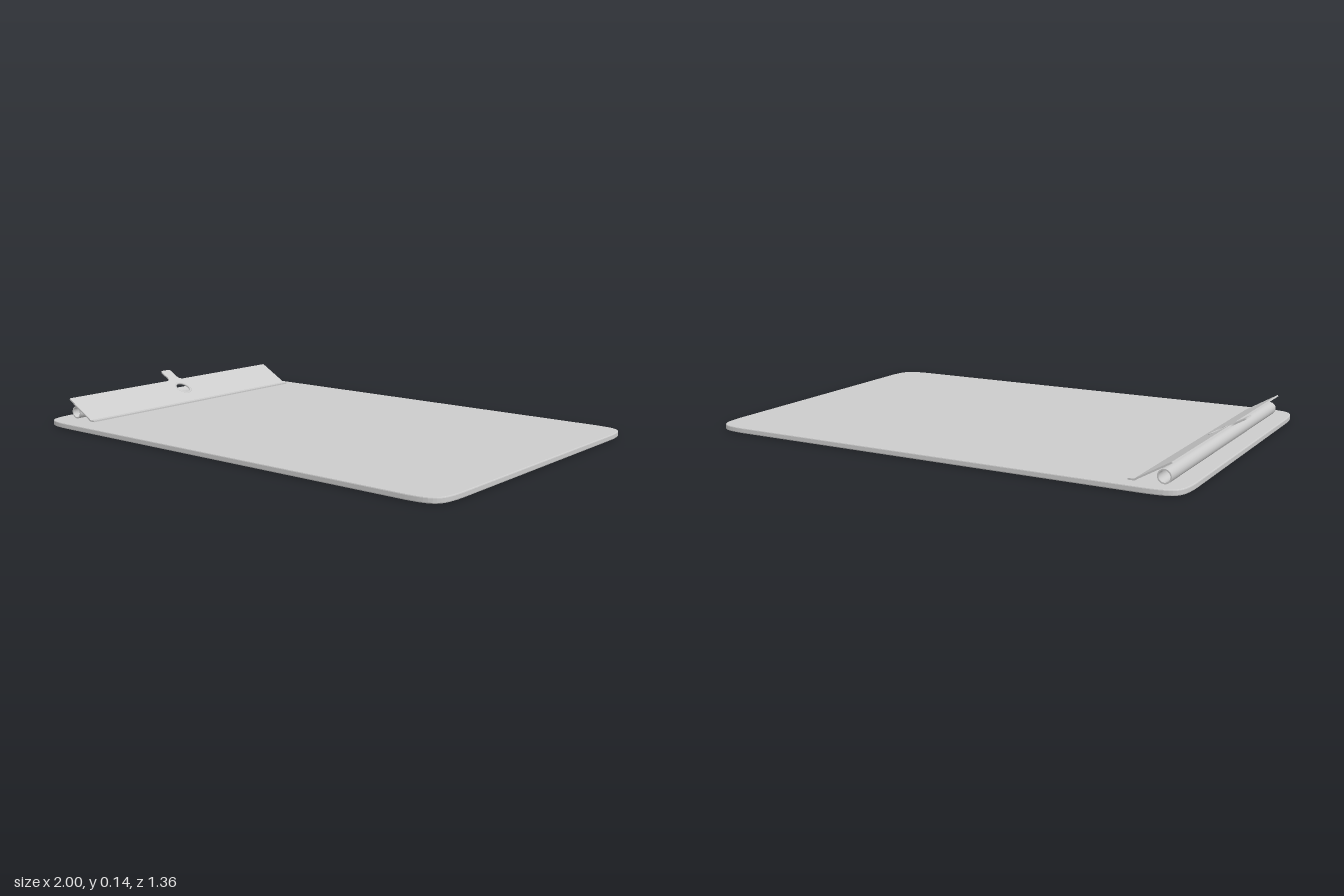
import * as THREE from 'three';

const grey = () => new THREE.MeshStandardMaterial({ color: 0xcccccc, side: THREE.DoubleSide });

function addPart(parent, name, geometry) {
  const mesh = new THREE.Mesh(geometry, grey());
  mesh.name = name;
  parent.add(mesh);
  return mesh;
}

// Rectangle with softly bowed, rounded corners
function boardShape(w, d) {
  const s = new THREE.Shape();
  s.moveTo(w, -d + 0.13);
  s.lineTo(w, d - 0.13);
  s.bezierCurveTo(w - 0.005, d - 0.02, w - 0.02, d - 0.005, w - 0.13, d);
  s.lineTo(-w + 0.13, d);
  s.bezierCurveTo(-w + 0.02, d - 0.005, -w + 0.005, d - 0.02, -w, d - 0.13);
  s.lineTo(-w, -d + 0.13);
  s.bezierCurveTo(-w + 0.005, -d + 0.02, -w + 0.02, -d + 0.005, -w + 0.13, -d);
  s.lineTo(w - 0.13, -d);
  s.bezierCurveTo(w - 0.02, -d + 0.005, w - 0.005, -d + 0.02, w, -d + 0.13);
  return s;
}

export function createModel() {
  const model = new THREE.Group();
  model.name = 'clipboard';

  // Backing board with a small edge bevel
  const bevel = 0.004;
  const boardGeo = new THREE.ExtrudeGeometry(boardShape(0.993 - bevel, 0.68 - bevel), {
    depth: 0.022 - 2 * bevel, bevelThickness: bevel, bevelSize: bevel, bevelSegments: 2, curveSegments: 12,
  });
  boardGeo.rotateX(-Math.PI / 2);
  addPart(model, 'board', boardGeo).position.set(0.006, bevel, 0);

  // Clip assembly: local x runs up the slope, local y along the board edge
  const z0 = -0.625, z1 = 0.59, mid = (z0 + z1) / 2;
  const clip = new THREE.Group();
  clip.name = 'clip';
  model.add(clip);

  const slope = new THREE.Group();
  slope.name = 'clipLever';
  const angle = Math.atan2(0.115, 0.2);
  const c = Math.cos(angle), s = Math.sin(angle);
  slope.quaternion.setFromRotationMatrix(new THREE.Matrix4().makeBasis(
    new THREE.Vector3(-c, s, 0), new THREE.Vector3(0, 0, 1), new THREE.Vector3(s, c, 0)));
  slope.position.set(-0.798, 0.023, mid);
  clip.add(slope);

  // Pressing plate with thumb tab and hanging hole
  const h = (z1 - z0) / 2, top = 0.156, tip = 0.231, r = 0.006;
  const plate = new THREE.Shape();
  plate.moveTo(0, -h);
  plate.lineTo(top - r, -h);
  plate.quadraticCurveTo(top, -h, top, -h + r);
  plate.lineTo(top, -0.05);
  plate.quadraticCurveTo(top + 0.002, -0.029, top + 0.022, -0.028);
  plate.lineTo(tip - 0.012, -0.028);
  plate.quadraticCurveTo(tip, -0.028, tip, -0.016);
  plate.lineTo(tip, 0.016);
  plate.quadraticCurveTo(tip, 0.028, tip - 0.012, 0.028);
  plate.lineTo(top + 0.022, 0.028);
  plate.quadraticCurveTo(top + 0.002, 0.029, top, 0.05);
  plate.lineTo(top, h - r);
  plate.quadraticCurveTo(top, h, top - r, h);
  plate.lineTo(0, h);
  const holeU = 0.095;
  const hole = new THREE.Path();
  hole.absarc(holeU, 0, 0.034, 0, Math.PI * 2, true);
  plate.holes.push(hole);
  addPart(slope, 'clipPlate', new THREE.ExtrudeGeometry(plate, {
    depth: 0.006, bevelEnabled: false, curveSegments: 20,
  }));

  // Rolled rim around the hole
  const rim = addPart(slope, 'holeRim', new THREE.TorusGeometry(0.036, 0.005, 10, 40));
  rim.position.set(holeU, 0, 0.003);

  // Flat gripping lip at the foot of the plate
  const lip = addPart(clip, 'grippingLip', new THREE.BoxGeometry(0.026, 0.006, z1 - z0));
  lip.position.set(-0.788, 0.026, mid);

  // Hollow spring tube under the plate
  const ring = new THREE.Shape();
  ring.absarc(0, 0, 0.026, 0, Math.PI * 2, false);
  const bore = new THREE.Path();
  bore.absarc(0, 0, 0.021, 0, Math.PI * 2, true);
  ring.holes.push(bore);
  const tube = addPart(clip, 'springTube', new THREE.ExtrudeGeometry(ring, {
    depth: z1 - z0 - 0.02, bevelEnabled: false, curveSegments: 32,
  }));
  tube.position.set(-0.9, 0.048, z0 + 0.01);

  return model;
}
